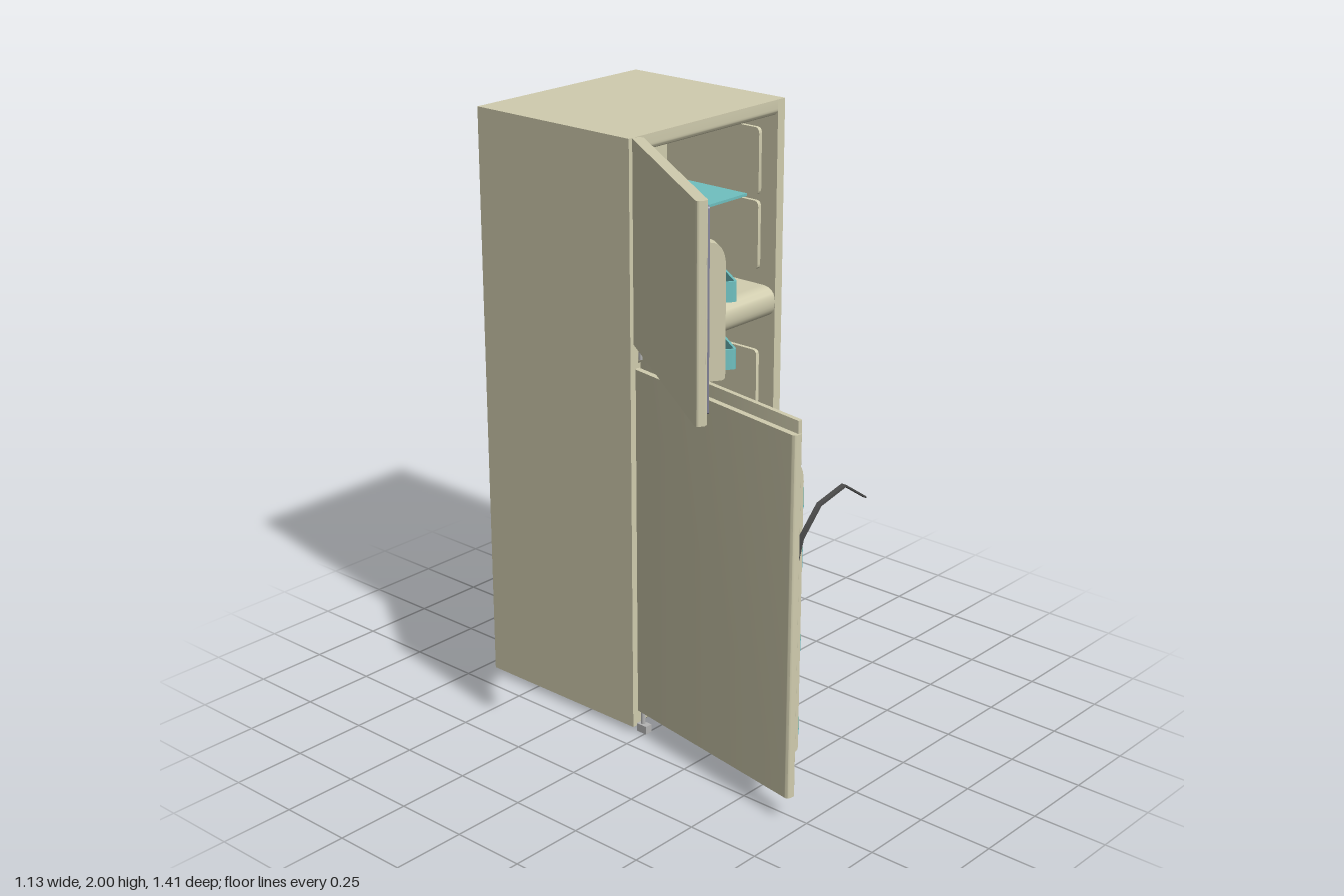
import * as THREE from 'three';
import { toCreasedNormals } from 'three/addons/utils/BufferGeometryUtils.js';

const mat = (color) => new THREE.MeshStandardMaterial({ color });
const CREAM = mat(0xd0ccae), TEAL = mat(0x6fc0c0), GREY = mat(0x9a9a9a), DARK = mat(0x4c4c4c);
const BLACK = mat(0x2c2c2c), GASKET = mat(0x85859a), YELLOW = mat(0xbdb84c), BLUE = mat(0x7a80a8);
const STEEL = mat(0xb4b4b4), DRAWER = mat(0xb0ad95), COPPER = mat(0xb0a080);

function add(parent, name, geometry, material) {
  const mesh = new THREE.Mesh(geometry, material);
  mesh.name = name;
  parent.add(mesh);
  return mesh;
}

function box(parent, name, material, x0, x1, y0, y1, z0, z1) {
  const g = new THREE.BoxGeometry(x1 - x0, y1 - y0, z1 - z0);
  g.translate((x0 + x1) / 2, (y0 + y1) / 2, (z0 + z1) / 2);
  return add(parent, name, g, material);
}

const extrude = (shape, depth) => toCreasedNormals(
  new THREE.ExtrudeGeometry(shape, { depth, bevelEnabled: false, curveSegments: 8 }), 0.6);

// Profile given as (-z, y), swept along x
const alongX = (shape, x0, x1) => extrude(shape, x1 - x0).rotateY(Math.PI / 2).translate(x0, 0, 0);
// Plan given as (x, -z), swept up along y
const alongY = (shape, y0, y1) => extrude(shape, y1 - y0).rotateX(-Math.PI / 2).translate(0, y0, 0);

const poly = (pts) => new THREE.Shape(pts.map(([x, y]) => new THREE.Vector2(x, y)));

// Rectangle with separate corner radii for the lower and upper edge
function roundRect(x0, x1, y0, y1, lo, hi) {
  const s = new THREE.Shape();
  s.moveTo(x0 + lo, y0).lineTo(x1 - lo, y0);
  s.quadraticCurveTo(x1, y0, x1, y0 + lo).lineTo(x1, y1 - hi);
  s.quadraticCurveTo(x1, y1, x1 - hi, y1).lineTo(x0 + hi, y1);
  s.quadraticCurveTo(x0, y1, x0, y1 - hi).lineTo(x0, y0 + lo);
  s.quadraticCurveTo(x0, y0, x0 + lo, y0);
  return s;
}

function ring(x0, x1, y0, y1, r, wall) {
  const s = roundRect(x0, x1, y0, y1, r, r);
  s.holes.push(roundRect(x0 + wall, x1 - wall, y0 + wall, y1 - wall, r / 2, r / 2));
  return s;
}

const L = -0.145, R = 0.525; // inner faces of the side walls

function buildCabinet() {
  const g = new THREE.Group();
  g.name = 'cabinet';
  box(g, 'rightWall', CREAM, -0.18, L, 0.02, 2, -0.685, -0.035);
  box(g, 'leftWall', CREAM, R, 0.56, 0.02, 2, -0.685, -0.035);

  // Roof with a rounded front lip
  const roof = new THREE.Shape();
  roof.moveTo(0.035, 2).lineTo(0.035, 1.97).quadraticCurveTo(0.035, 1.945, 0.07, 1.945);
  roof.lineTo(0.685, 1.955).lineTo(0.685, 2);
  add(g, 'roof', alongX(roof, L, R), CREAM);

  // Divider with a bulging front
  const divider = new THREE.Shape();
  divider.moveTo(0.66, 1.37).lineTo(0.09, 1.37).quadraticCurveTo(0.035, 1.37, 0.035, 1.32);
  divider.quadraticCurveTo(0.035, 1.265, 0.09, 1.265).lineTo(0.66, 1.265);
  add(g, 'divider', alongX(divider, L, R), CREAM);

  // Floor, rounded sill and the step over the machine bay
  const floor = new THREE.Shape();
  floor.moveTo(0.035, 0.03).lineTo(0.035, 0.09).quadraticCurveTo(0.035, 0.13, 0.09, 0.13);
  for (const [x, y] of [[0.44, 0.13], [0.5, 0.36], [0.62, 0.37], [0.685, 0.385], [0.685, 0.345],
    [0.53, 0.335], [0.465, 0.06], [0.465, 0.03]]) floor.lineTo(x, y);
  add(g, 'floor', alongX(floor, L, R), CREAM);
  add(g, 'bayInsulation', alongX(poly([[0.68, 0.344], [0.53, 0.334], [0.466, 0.06], [0.472, 0.06],
    [0.536, 0.327], [0.68, 0.336]]), L, R), YELLOW);

  box(g, 'freezerBackWall', CREAM, L, R, 1.36, 1.96, -0.66, -0.51);
  box(g, 'fridgeBackWall', CREAM, L, R, 0.365, 1.28, -0.66, -0.62);
  box(g, 'backPanel', GREY, L - 0.015, R + 0.015, 0.38, 1.965, -0.675, -0.655);
  box(g, 'basePlate', DARK, L, R, 0.025, 0.031, -0.68, -0.04);

  // Shelf supports on both side walls
  for (const [name, y0, y1, z0] of [['freezerRib', 1.42, 1.655, -0.5], ['freezerRib', 1.675, 1.9, -0.5],
    ['fridgeRib', 0.36, 1.14, -0.6]]) {
    const rib = roundRect(0.1, -z0, y0, y1, 0.02, 0.02);
    add(g, name, alongX(rib, L, L + 0.014), CREAM);
    add(g, name, alongX(rib, R - 0.014, R), CREAM);
  }
  // Shelves
  box(g, 'freezerShelf', TEAL, L, R, 1.66, 1.669, -0.49, -0.16);
  for (const y of [0.355, 0.545, 0.745, 0.945])
    box(g, 'fridgeShelf', TEAL, L, R, y - 0.005, y + 0.004, y < 0.4 ? -0.5 : -0.61, -0.11);
  add(g, 'drawer', alongX(poly([[0.08, 0.132], [0.115, 0.348], [0.47, 0.348], [0.43, 0.132]]),
    L + 0.012, R - 0.012), DRAWER);
  return g;
}

function buildMachineBay() {
  const g = new THREE.Group();
  g.name = 'machineBay';
  box(g, 'bayPan', STEEL, L, R, 0.032, 0.042, -0.68, -0.465);
  for (const z of [-0.66, -0.6, -0.54]) {
    const bar = new THREE.CylinderGeometry(0.008, 0.008, R - L, 10).rotateZ(Math.PI / 2);
    add(g, 'bayRail', bar.translate((L + R) / 2, 0.06, z), STEEL);
  }
  // Domed compressor pot
  const pot = [[0, 0.07], [0.07, 0.075], [0.09, 0.11], [0.09, 0.165], [0.097, 0.168], [0.097, 0.182],
    [0.09, 0.186], [0.075, 0.235], [0.04, 0.26], [0, 0.265]].map(([r, y]) => new THREE.Vector2(r, y));
  add(g, 'compressor', toCreasedNormals(new THREE.LatheGeometry(pot, 28), 0.6), BLACK).position.set(0.35, 0, -0.575);
  // Refrigerant line looping around the pot
  const pipe = new THREE.CatmullRomCurve3([[0.43, 0.2, -0.6], [0.42, 0.25, -0.67], [0.35, 0.27, -0.695],
    [0.29, 0.26, -0.685], [0.22, 0.22, -0.63], [0.12, 0.2, -0.57], [0.03, 0.2, -0.56]]
    .map((p) => new THREE.Vector3(...p)));
  add(g, 'pipe', new THREE.TubeGeometry(pipe, 40, 0.006, 8), COPPER);

  // Fan housing and blades beside the condenser fins
  box(g, 'fanHousing', BLUE, -0.02, 0.03, 0.065, 0.28, -0.695, -0.5);
  const fan = new THREE.Group();
  fan.name = 'fan';
  fan.position.set(0.034, 0.172, -0.597);
  add(fan, 'fanRing', new THREE.TorusGeometry(0.075, 0.006, 8, 28).rotateY(Math.PI / 2), DARK);
  add(fan, 'fanHub', new THREE.CylinderGeometry(0.02, 0.02, 0.03, 16).rotateZ(Math.PI / 2), BLUE);
  for (let i = 0; i < 5; i++) {
    const blade = new THREE.BoxGeometry(0.005, 0.05, 0.03).rotateY(0.5).translate(0.005, 0.042, 0);
    add(fan, 'fanBlade', blade.rotateX(i * Math.PI * 2 / 5), BLUE);
  }
  g.add(fan);
  for (let i = 0; i < 4; i++)
    add(g, 'condenserFin', alongX(roundRect(0.5, 0.696, 0.06, 0.28, 0.015, 0.015),
      -0.143 + i * 0.034, -0.128 + i * 0.034), BLACK);
  return g;
}

// Door hung at its own origin: x runs to the free end, +z is the outer face
function buildDoor(name, W, y0, y1, outerTop, pillarY, trays, angle) {
  const g = new THREE.Group();
  g.name = name;
  g.position.set(-0.148, 0, -0.03);
  g.rotation.y = THREE.MathUtils.degToRad(angle);
  add(g, 'doorSkin', alongY(roundRect(0, W, -0.018, 0.012, 0.013, 0.004), y0, outerTop), CREAM);
  add(g, 'doorLiner', alongY(roundRect(0.006, W - 0.006, 0.002, 0.018, 0.001, 0.005), y0, y1), CREAM);

  // Seal around the inner face and a raised liner edge inside it
  const seal = extrude(ring(0.025, W - 0.025, y0 + 0.024, y1 - 0.024, 0.008, 0.016), 0.01);
  add(g, 'doorSeal', seal.translate(0, 0, -0.028), GASKET);
  const edge = extrude(ring(0.044, W - 0.044, y0 + 0.043, y1 - 0.043, 0.01, 0.008), 0.014);
  add(g, 'linerEdge', edge.translate(0, 0, -0.032), CREAM);

  // Upright supports with a rounded top
  const [p0, p1] = pillarY;
  const pillar = new THREE.Shape();
  pillar.moveTo(0.015, p0).lineTo(0.075, p0).quadraticCurveTo(0.088, p0, 0.088, p0 + 0.015);
  pillar.lineTo(0.088, p1 - 0.07).quadraticCurveTo(0.085, p1, 0.04, p1).lineTo(0.015, p1);
  for (const u of [0.06, 0.628]) add(g, 'binSupport', alongX(pillar, u, u + 0.042), CREAM);

  // Open bins
  for (const [b0, b1] of trays) {
    add(g, 'binWalls', alongY(ring(0.104, 0.63, 0.034, 0.133, 0.012, 0.007), b0, b1), TEAL);
    add(g, 'binFloor', alongY(roundRect(0.106, 0.628, 0.036, 0.131, 0.01, 0.01), b0 + 0.001, b0 + 0.008), TEAL);
  }
  return g;
}

export function createModel() {
  const model = new THREE.Group();
  model.name = 'refrigerator';
  model.add(buildCabinet(), buildMachineBay());

  model.add(buildDoor('freezerDoor', 0.742, 1.35, 2, 2, [1.455, 1.86], [[1.47, 1.53], [1.67, 1.73]], -123.8));
  const fridgeDoor = buildDoor('fridgeDoor', 0.742, 0.08, 1.31, 1.27, [0.18, 1.15],
    [[0.205, 0.265], [0.495, 0.55], [0.775, 0.84], [0.97, 1.035]], -99.2);
  box(fridgeDoor, 'edgeStrip', YELLOW, 0.7, 0.716, 0.78, 1.27, -0.021, -0.015);
  model.add(fridgeDoor);

  // Hinge pins and the front foot under the lower door
  for (const [y, h] of [[1.33, 0.06], [0.055, 0.06]])
    add(model, 'hingePin', new THREE.CylinderGeometry(0.008, 0.008, h, 12), STEEL).position.set(-0.148, y, -0.02);
  box(model, 'foot', STEEL, -0.163, -0.137, 0, 0.028, -0.035, 0.006);

  // Thin bent strip reaching out from the edge of the lower door
  const path = [[-0.245, 0.76], [-0.24, 0.8], [-0.2, 0.92], [-0.12, 1.0], [0, 1.025], [0.104, 0.955]];
  const strip = poly([...path, ...path.map(([x, y]) => [x + 0.003, y - 0.008]).reverse()]);
  add(model, 'bentStrip', extrude(strip, 0.016).translate(0, 0, 0.658), DARK);
  return model;
}
